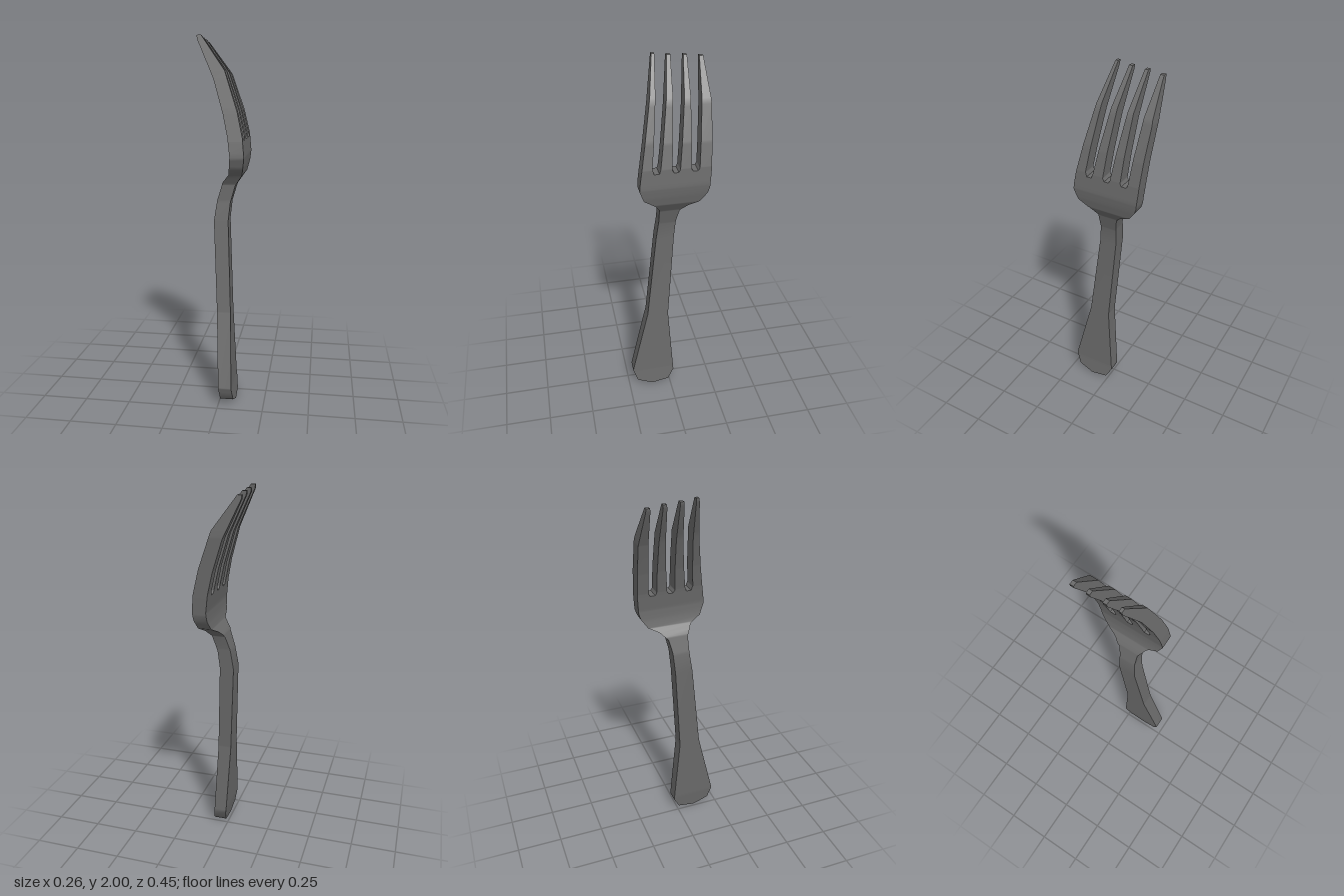
import * as THREE from 'three';

// Side profile, [y, x]: hollow face and rounded back of the metal
const faceX = [[0, 0.015], [0.1, 0.003], [1.02, -0.043], [1.13, -0.027], [1.23, 0.003], [1.28, 0.042],
  [1.33, 0.052], [1.38, 0.055], [1.48, 0.042], [1.6, 0.015], [1.78, -0.04], [1.98, -0.131], [2, -0.133]];
const backX = [[0, 0.088], [0.1, 0.075], [1.02, 0.035], [1.12, 0.045], [1.215, 0.072], [1.275, 0.113],
  [1.33, 0.125], [1.38, 0.13], [1.48, 0.12], [1.615, 0.088], [1.82, 0.018], [2, -0.11]];

// Outline of handle and head, [y, z] on each edge
const bodyLeft = [[0, 0.115], [0.035, 0.2], [0.11, 0.225], [0.52, 0.125], [1.13, 0.055], [1.22, 0.055],
  [1.27, 0.085], [1.31, 0.145], [1.37, 0.167], [1.4, 0.165], [1.46, 0.156]];
const bodyRight = [[0, 0.1], [0.015, 0.01], [0.08, -0.025], [0.51, 0.005], [1.14, -0.04], [1.21, -0.055],
  [1.25, -0.095], [1.28, -0.155], [1.33, -0.19], [1.36, -0.2], [1.46, -0.208]];

// Tines: tip height and the two edges as [y, z] (flared at the root to round the slots)
const tines = [
  { top: 2.0, left: [[1.46, 0.156], [1.63, 0.125], [2, 0.055]], right: [[1.46, 0.09], [1.485, 0.098], [2, 0.04]] },
  { top: 1.99, left: [[1.46, 0.063], [1.485, 0.055], [2, -0.02]], right: [[1.46, -0.012], [1.475, -0.003], [2, -0.04]] },
  { top: 1.985, left: [[1.46, -0.037], [1.475, -0.045], [2, -0.105]], right: [[1.46, -0.111], [1.475, -0.103], [2, -0.124]] },
  { top: 1.975, left: [[1.46, -0.138], [1.475, -0.146], [2, -0.187]], right: [[1.46, -0.208], [1.79, -0.222], [2, -0.207]] },
];

// Linear interpolation along a list of [y, value]
function sample(curve, y) {
  for (let i = 1; i < curve.length; i++) {
    const [y0, v0] = curve[i - 1], [y1, v1] = curve[i];
    if (y <= y1) return v0 + (v1 - v0) * (y - y0) / (y1 - y0);
  }
  return curve[curve.length - 1][1];
}

// Loft four-cornered sections; the four sides are smooth lengthwise and sharp at their edges
function loft(left, right, from, to, top) {
  const heights = [...new Set([left, right, faceX, backX].flat().map((p) => p[0]))]
    .filter((y) => y >= from && y <= to).sort((a, b) => a - b);
  const rows = heights.map((y) => {
    const py = from + (y - from) * (top - from) / (to - from);
    const x0 = sample(faceX, y), x1 = sample(backX, y), z0 = sample(left, y), z1 = sample(right, y);
    return [[x0, py, z0], [x1, py, z0], [x1, py, z1], [x0, py, z1]];
  });
  const pos = [], index = [];
  for (let side = 0; side < 4; side++) {
    const start = pos.length / 3;
    rows.forEach((row, r) => {
      pos.push(...row[side], ...row[(side + 1) % 4]);
      if (r === 0) return;
      const b = start + r * 2, a = b - 2;
      index.push(a, a + 1, b + 1, a, b + 1, b);
    });
  }
  for (const cap of [[...rows[0]].reverse(), rows[rows.length - 1]]) {
    const s = pos.length / 3;
    pos.push(...cap.flat());
    index.push(s, s + 1, s + 2, s, s + 2, s + 3);
  }
  const geometry = new THREE.BufferGeometry();
  geometry.setAttribute('position', new THREE.Float32BufferAttribute(pos, 3));
  geometry.setIndex(index);
  geometry.computeVertexNormals();
  return geometry;
}

export function createModel() {
  const group = new THREE.Group();
  group.name = 'fork';
  const steel = new THREE.MeshStandardMaterial({ color: 0x6a6a6a });
  steel.name = 'darkSteel';

  const add = (name, geometry) => {
    const mesh = new THREE.Mesh(geometry, steel);
    mesh.name = name;
    group.add(mesh);
  };

  // Handle, neck and the solid part of the head
  add('handleAndHead', loft(bodyLeft, bodyRight, 0, 1.46, 1.46));

  // Four tapering tines
  tines.forEach((t, i) => add(`tine${i + 1}`, loft(t.left, t.right, 1.46, 2, t.top)));

  return group;
}
